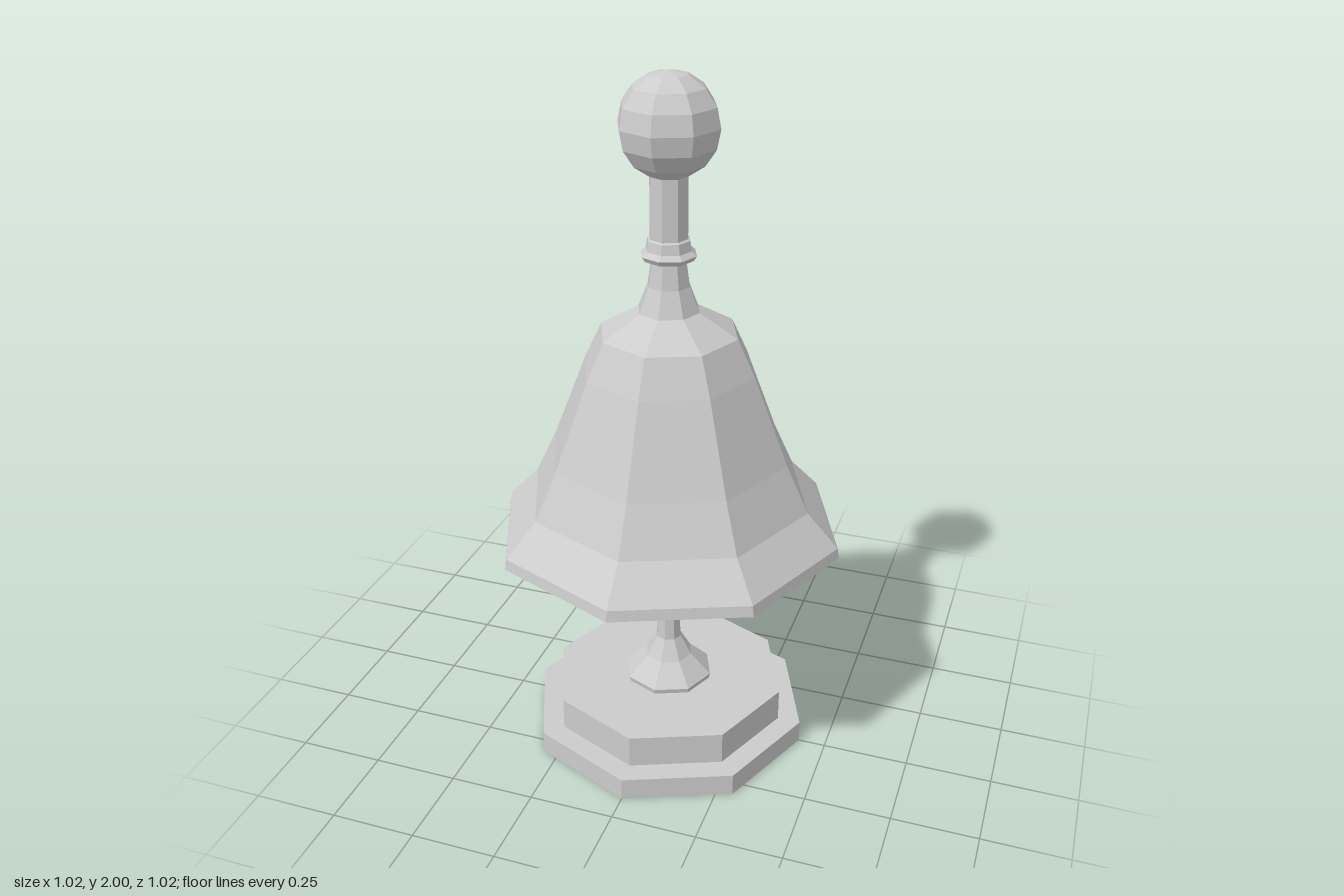
import * as THREE from 'three';

const SIDES = 8;
const material = new THREE.MeshStandardMaterial({
  color: 0xcccccc, flatShading: true, side: THREE.DoubleSide,
});

// Eight-sided turned part from [radius, height] pairs, listed bottom to top
function turned(name, profile) {
  const points = profile.map(([r, y]) => new THREE.Vector2(r, y));
  const mesh = new THREE.Mesh(new THREE.LatheGeometry(points, SIDES), material);
  mesh.name = name;
  return mesh;
}

// Ball profile in 22.5 degree steps, from one step number to another (0 = bottom, 8 = top)
function ballProfile(radius, centerY, from, to) {
  const profile = [];
  for (let i = from; i <= to; i++) {
    const a = (i / 8) * Math.PI;
    profile.push([radius * Math.sin(a), centerY - radius * Math.cos(a)]);
  }
  return profile;
}

export function createModel() {
  const model = new THREE.Group();
  model.name = 'bellOnStand';

  model.add(
    // Hollow two-step base, open underneath
    turned('base', [[0.42, 0], [0.42, 0.067], [0.352, 0.067], [0.352, 0.165], [0.13, 0.165]]),

    // Flared hollow stem with a small collar
    turned('stem', [
      [0.13, 0.165], [0.133, 0.18], [0.072, 0.24], [0.038, 0.3], [0.032, 0.45],
      [0.05, 0.457], [0.055, 0.47], [0.05, 0.483], [0.042, 0.488],
    ]),

    // Ball under the bell, cut off where it meets the bell's floor
    turned('lowerBall', ballProfile(0.11, 0.59, 1, 6)),

    // Bell with a flat floor and a flared lip, drawn in to the neck
    turned('bell', [
      [0.078, 0.668], [0.508, 0.668], [0.503, 0.7], [0.412, 0.797], [0.347, 0.935],
      [0.29, 1.08], [0.247, 1.19], [0.197, 1.295], [0.088, 1.358], [0.06, 1.43], [0.05, 1.5],
    ]),

    // Ringed collar
    turned('collar', [
      [0.05, 1.5], [0.07, 1.503], [0.079, 1.517], [0.065, 1.53], [0.06, 1.558], [0.054, 1.562],
    ]),

    // Handle and its ball
    turned('handle', [[0.054, 1.562], [0.054, 1.735]]),
    turned('handleBall', ballProfile(0.14, 1.86, 1, 8)),
  );
  return model;
}
